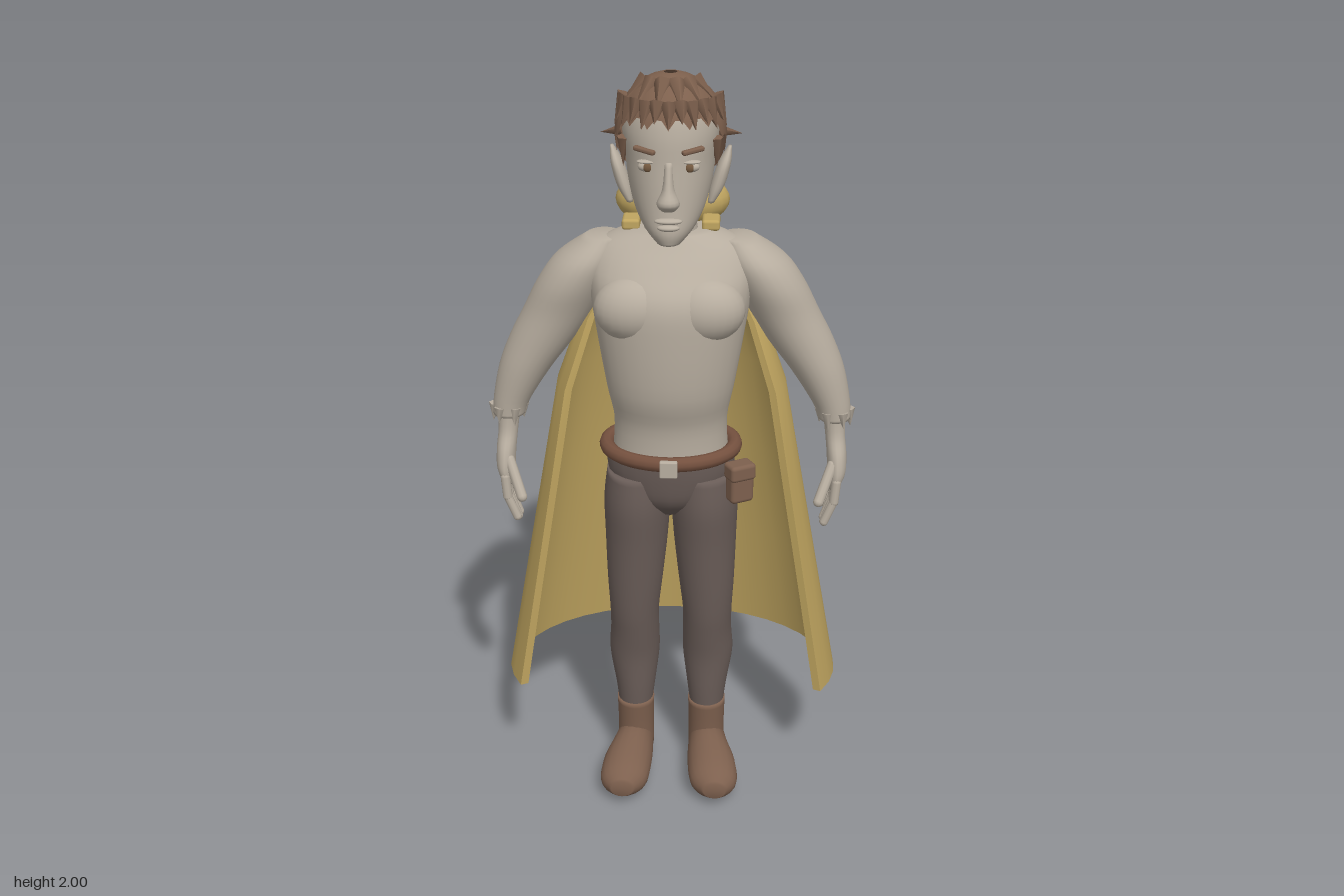
import * as THREE from 'three';
import { toCreasedNormals } from 'three/addons/utils/BufferGeometryUtils.js';
import { RoundedBoxGeometry } from 'three/addons/geometries/RoundedBoxGeometry.js';

const paint = (name, color, side = THREE.FrontSide) => {
  const m = new THREE.MeshStandardMaterial({ color, side });
  m.name = name;
  return m;
};

// Skin a stack of closed point loops (bottom to top), with optional end caps.
function skinLoops(loops, caps = true) {
  const n = loops[0].length, pos = loops.flat(2), idx = [];
  for (let r = 0; r < loops.length - 1; r++) {
    for (let i = 0; i < n; i++) {
      const a = r * n + i, b = r * n + (i + 1) % n;
      idx.push(a, a + n, b, b, a + n, b + n);
    }
  }
  if (caps) {
    [0, loops.length - 1].forEach((r, top) => {
      const c = pos.length / 3;
      for (let k = 0; k < 3; k++) pos.push(loops[r].reduce((s, p) => s + p[k], 0) / n);
      for (let i = 0; i < n; i++) {
        const a = r * n + i, b = r * n + (i + 1) % n;
        idx.push(c, top ? b : a, top ? a : b);
      }
    });
  }
  const g = new THREE.BufferGeometry();
  g.setAttribute('position', new THREE.Float32BufferAttribute(pos, 3));
  g.setIndex(idx);
  g.computeVertexNormals();
  return g;
}

// Smooth body form from ellipse rings [x, y, z, halfWidth, halfDepth].
function form(rings, n = 24, steps = 4) {
  const at = i => rings[Math.min(Math.max(i, 0), rings.length - 1)];
  const loops = [];
  const count = (rings.length - 1) * steps;
  for (let j = 0; j <= count; j++) {
    const i = Math.min(Math.floor(j / steps), rings.length - 2), t = j / steps - i;
    const [x, y, z, a, b] = at(i).map((p1, k) => {
      const p0 = at(i - 1)[k], p2 = at(i + 1)[k], p3 = at(i + 2)[k];
      return p1 + 0.5 * t * (p2 - p0 + t * (2 * p0 - 5 * p1 + 4 * p2 - p3 + t * (3 * (p1 - p2) + p3 - p0)));
    });
    loops.push(Array.from({ length: n }, (_, k) => {
      const q = k / n * Math.PI * 2;
      return [x + a * Math.cos(q), y, z + b * Math.sin(q)];
    }));
  }
  return skinLoops(loops);
}

const ball = (x, y, z, a, b, c) => new THREE.SphereGeometry(1, 24, 16).scale(a, b, c).translate(x, y, z);

// Rounded rod or cone between two points.
function between(from, to, r, tip) {
  const a = new THREE.Vector3(...from), b = new THREE.Vector3(...to), d = b.clone().sub(a);
  const g = tip ? new THREE.ConeGeometry(r, d.length(), 6) : new THREE.CapsuleGeometry(r, d.length(), 4, 10);
  g.applyQuaternion(new THREE.Quaternion().setFromUnitVectors(new THREE.Vector3(0, 1, 0), d.normalize()));
  return g.translate(...a.add(b).multiplyScalar(0.5).toArray());
}

export function createModel() {
  const skin = paint('skin', 0xb8aea0), cloth = paint('cape yellow', 0xc0a560);
  const hairBrown = paint('hair brown', 0x7d604d, THREE.DoubleSide), leather = paint('leather brown', 0x7d604e);
  const trousers = paint('trouser grey', 0x6a5d58), iris = paint('iris brown', 0x755a40);
  const beltBrown = paint('belt brown', 0x75513f);
  const model = new THREE.Group();
  model.name = 'capedFigure';
  const add = (name, geo, mat, parent = model) => {
    const m = new THREE.Mesh(geo, mat);
    m.name = name;
    parent.add(m);
    return m;
  };

  // Trunk, neck and head
  add('torso', form([[0, 1, .1, .152, .12], [0, 1.1, .11, .147, .115], [0, 1.2, .12, .165, .135],
    [0, 1.35, .115, .19, .152], [0, 1.45, .105, .205, .157], [0, 1.52, .085, .21, .13],
    [0, 1.57, .075, .18, .1], [0, 1.605, .075, .1, .075]], 32), skin);
  add('neck', form([[0, 1.56, .075, .085, .07], [0, 1.61, .085, .066, .062], [0, 1.7, .09, .062, .06]]), skin);
  add('head', form([[0, 1.605, .205, .03, .042], [0, 1.635, .175, .06, .08], [0, 1.68, .14, .086, .11],
    [0, 1.74, .115, .103, .13], [0, 1.8, .105, .111, .135], [0, 1.87, .1, .118, .135],
    [0, 1.93, .1, .1, .115], [0, 1.965, .1, .05, .06]], 32), skin);
  add('nose', form([[0, 1.695, .243, .018, .018], [0, 1.715, .252, .028, .031], [0, 1.75, .243, .014, .025],
    [0, 1.81, .23, .01, .014]], 14), skin);
  add('upperLip', ball(0, 1.669, .247, .034, .008, .016), skin);
  add('lowerLip', ball(0, 1.652, .245, .028, .009, .017), skin);

  // Hair cap: rounded dome with a ragged hairline, low at the nape
  const hairLoops = [], N = 48, R = 12;
  for (let r = 0; r <= R; r++) {
    hairLoops.push(Array.from({ length: N }, (_, k) => {
      const q = k / N * Math.PI * 2, s = Math.sin(q);
      const jag = s > -.3 && k % 3 === 0 ? .022 : 0;
      const hem = (s > 0 ? 1.825 + .085 * Math.min(1, s * 1.5) : 1.825 - .095 * Math.min(1, -s * 1.6)) - jag;
      const y = hem + (1.997 - hem) * Math.sin(r / R * Math.PI / 2);
      const f = y < 1.85 ? 1 - .8 * (1.85 - y) : Math.sqrt(Math.max(0, 1 - ((y - 1.85) / .148) ** 2));
      return [.137 * f * Math.cos(q), y, .102 + .147 * f * s];
    }));
  }
  add('hairCap', skinLoops(hairLoops, false), hairBrown);
  const locks = new THREE.Group();
  locks.name = 'hairLocks';
  model.add(locks);
  for (let i = 0; i < 13; i++) {
    const q = (5 + i * 170 / 12) * Math.PI / 180, c = Math.cos(q), s = Math.sin(q), drop = i % 2 * .015;
    add('lowerLock', between([.108 * c, 1.945, .1 + .115 * s], [.137 * c, 1.868 + drop + .02 * s, .1 + .147 * s], .023, true), hairBrown, locks);
    if (i % 2) add('upperLock', between([.06 * c, 1.982, .1 + .06 * s], [.118 * c, 1.935, .1 + .13 * s], .024, true), hairBrown, locks);
  }

  // Paired parts, built for +x and mirrored
  for (const side of [1, -1]) {
    const half = new THREE.Group();
    half.name = side > 0 ? 'leftSide' : 'rightSide';
    half.scale.x = side;
    model.add(half);
    const put = (name, geo, mat) => add(name, geo, mat, half);

    // Face
    put('ear', form([[.1, 1.68, .12, .008, .012], [.115, 1.72, .113, .017, .025], [.132, 1.775, .1, .016, .032],
      [.145, 1.815, .092, .004, .008]], 14), skin);
    put('eye', ball(.05, 1.795, .217, .024, .013, .014), skin);
    put('iris', ball(.05, 1.795, .227, .011, .011, .006), iris);
    put('eyelid', ball(.05, 1.808, .219, .027, .005, .015), skin);
    const brow = put('eyebrow', new RoundedBoxGeometry(.058, .012, .016, 2, .005), hairBrown);
    brow.position.set(.058, 1.836, .223);
    brow.rotation.set(0, .5, .12);
    put('templeTuft', between([.115, 1.85, .085], [.175, 1.836, .055], .016, true), hairBrown);
    put('sideburn', between([.112, 1.85, .15], [.114, 1.775, .14], .017, true), hairBrown);

    // Chest and arm
    put('chestMuscle', ball(.09, 1.425, .19, .1, .085, .075), skin);
    put('arm', form([[.428, 1.085, .07, .042, .047], [.418, 1.13, .066, .05, .055], [.38, 1.22, .06, .07, .073],
      [.335, 1.3, .058, .085, .083], [.29, 1.38, .06, .09, .09], [.25, 1.46, .065, .09, .1],
      [.212, 1.525, .065, .08, .095], [.17, 1.58, .07, .045, .055]]), skin);
    for (let i = 0; i < 6; i++) {
      const q = i * Math.PI / 3, c = Math.cos(q), s = Math.sin(q);
      put('cuffPoint', between([.428 + .036 * c, 1.11, .07 + .04 * s], [.43 + .041 * c, 1.06 + i % 2 * .01, .072 + .046 * s], .018, true), skin);
    }
    put('palm', form([[.432, .9, .1, .014, .042], [.438, .94, .098, .024, .05], [.437, .99, .09, .026, .045],
      [.432, 1.04, .078, .026, .032], [.428, 1.1, .07, .03, .034]], 16), skin);
    for (let i = 0; i < 4; i++) {
      const z = .063 + i * .025, y = .812 - .012 * Math.sin(i * Math.PI / 3) + (i === 0 ? .02 : 0);
      put('fingerBase', between([.437, .925, z], [.432, .87, z + .003], .0125), skin);
      put('fingerTip', between([.432, .87, z + .003], [.408, y, z + .005], .0115), skin);
    }
    put('thumb', between([.425, .97, .125], [.39, .885, .172], .014), skin);

    // Leg and boot
    put('trouserLeg', form([[.1, .19, .085, .045, .05], [.1, .27, .08, .055, .062], [.102, .37, .072, .069, .076],
      [.1, .45, .085, .067, .077], [.1, .52, .1, .067, .075], [.097, .62, .105, .075, .082],
      [.092, .75, .1, .084, .1], [.09, .86, .1, .088, .113], [.088, .95, .095, .08, .113]]), trousers);
    put('bootShaft', form([[.1, .06, .08, .05, .05], [.1, .14, .08, .05, .054], [.1, .22, .085, .052, .057]]), leather);
    put('bootFoot', form([[.1, .028, -.06, .025, .03], [.102, .055, -.065, .048, .057], [.106, .12, -.073, .056, .068],
      [.118, .2, -.067, .067, .061], [.125, .27, -.057, .063, .049], [.128, .308, -.053, .03, .024]], 20).rotateX(Math.PI / 2), leather);
    put('solePatch', new THREE.CylinderGeometry(1, 1, .008, 20).scale(.032, 1, .08).translate(.113, .004, .15), skin);
    put('collarFlap', new RoundedBoxGeometry(.045, .028, .07, 2, .008).translate(.1, 1.613, .07), cloth);
  }

  // Hips, belt, buckle and pouch
  add('hips', form([[0, .83, .095, .05, .06], [0, .88, .097, .13, .105], [0, .95, .097, .166, .122],
    [0, 1.01, .1, .166, .125]]), trousers);
  add('belt', new THREE.TorusGeometry(.168, .02, 10, 40).rotateX(Math.PI / 2).scale(1, 1, .82).translate(0, 1.017, .1), beltBrown);
  add('buckle', new RoundedBoxGeometry(.046, .046, .016, 2, .004).translate(0, 1.012, .256), skin);
  const pouch = new THREE.Group();
  pouch.name = 'beltPouch';
  pouch.position.set(.183, .945, .185);
  pouch.rotation.y = .5;
  model.add(pouch);
  add('pouchBody', new RoundedBoxGeometry(.066, .105, .045, 3, .012), leather, pouch);
  add('pouchFlap', new RoundedBoxGeometry(.072, .045, .053, 3, .01).translate(0, .034, 0), leather, pouch);

  // Cape: open-fronted shell, rows of [y, halfWidth, zCentre, depth, thickness]
  const rows = [[.29, .46, .02, .33, 0], [.29, .46, .02, .33, .022], [.6, .404, .03, .295, .02], [.9, .35, .04, .262, .02],
    [1.18, .3, .05, .228, .02], [1.36, .235, .035, .165, .018], [1.48, .165, .02, .11, .015],
    [1.6, .09, .02, .06, .012], [1.6, .09, .02, .06, 0]];
  const M = 24, spread = 115 * Math.PI / 180;
  const capeLoops = rows.map(([y, w, z, d, t]) => {
    const arc = k => Array.from({ length: M + 1 }, (_, i) => {
      const q = (i / M * 2 - 1) * spread;
      return [(w - k) * Math.sin(q), y, z - (d - k) * Math.cos(q)];
    });
    return [...arc(0), ...arc(t).reverse()];
  });
  add('cape', toCreasedNormals(skinLoops(capeLoops, false), .9), cloth);
  add('loweredHood', ball(0, 1.645, -.025, .146, .074, .09), cloth);
  return model;
}
